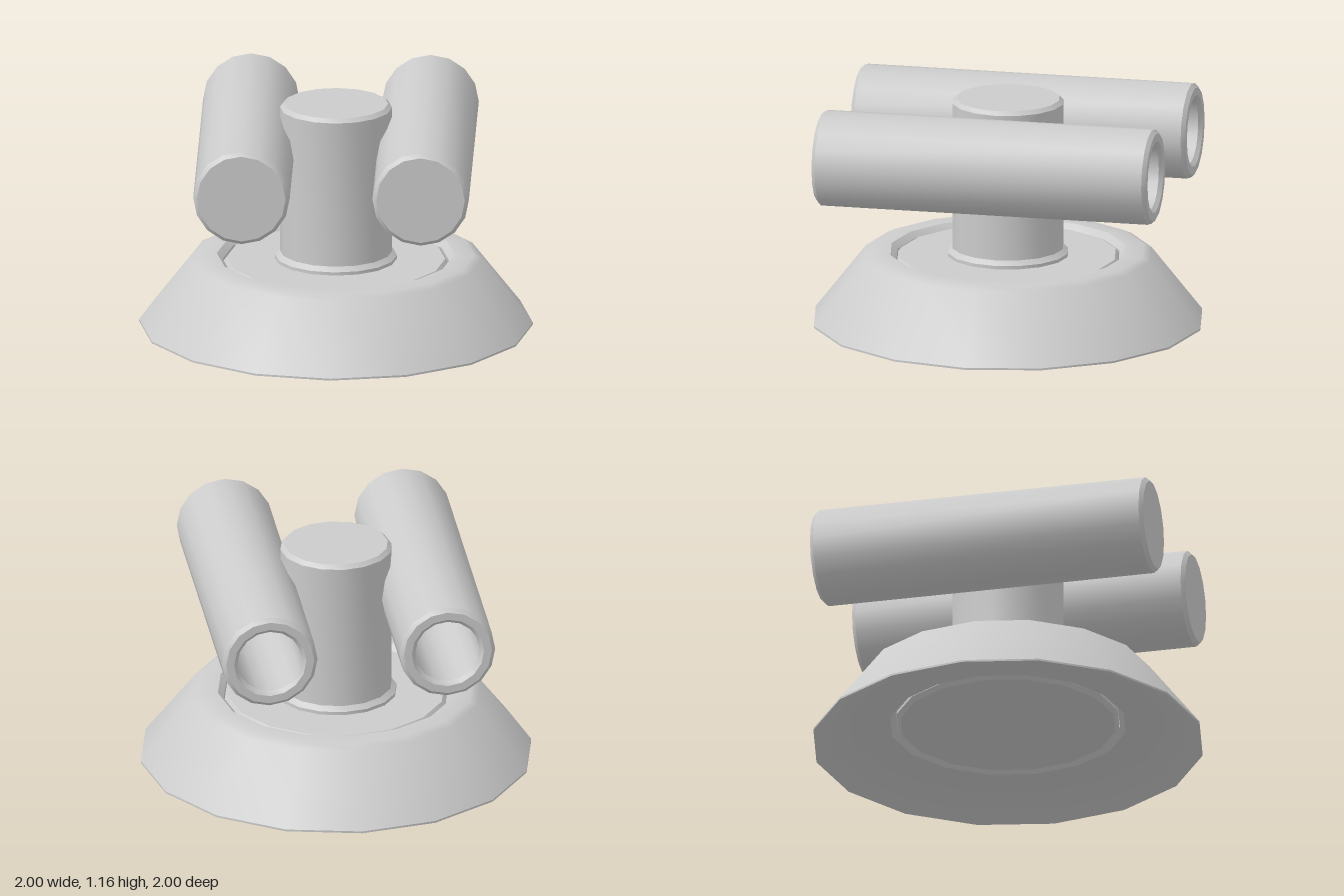
import * as THREE from 'three';
import { toCreasedNormals } from 'three/addons/utils/BufferGeometryUtils.js';

const SIDES = 16;
const material = new THREE.MeshStandardMaterial({ color: 0xcccccc });

// Turned part from [radius, height] pairs, running bottom to top on the outside
function turned(profile) {
  const points = profile.map(([r, y]) => new THREE.Vector2(r, y));
  return toCreasedNormals(new THREE.LatheGeometry(points, SIDES), Math.PI / 6);
}

function addPart(group, name, geometry, x = 0, y = 0) {
  const mesh = new THREE.Mesh(geometry, material);
  mesh.name = name;
  mesh.position.set(x, y, 0);
  group.add(mesh);
}

export function createModel() {
  const group = new THREE.Group();
  group.name = 'twinTubeMount';

  // Sloped ring with a hollowed underside and a bevelled hole
  addPart(group, 'baseRing', turned([
    [0.575, 0.13], [0.605, 0.1], [0.8, 0.1], [1, 0], [1, 0.01],
    [0.74, 0.345], [0.7, 0.365], [0.605, 0.365], [0.575, 0.335], [0.575, 0.13],
  ]));

  // Bevelled turntable filling the hole
  addPart(group, 'turntable', turned([
    [0, 0.1], [0.55, 0.1], [0.571, 0.12], [0.571, 0.325], [0.555, 0.345], [0, 0.345],
  ]));

  // Central column with a flared foot
  addPart(group, 'column', turned([
    [0.31, 0.34], [0.31, 0.362], [0.285, 0.385],
    [0.285, 1.145], [0.265, 1.165], [0, 1.165],
  ]));

  // Side tubes: closed at the front, bored out from the back
  const tube = turned([
    [0, 0.7], [0.165, 0.7], [0.165, -0.85], [0.185, -0.87], [0.225, -0.87],
    [0.245, -0.85], [0.245, 0.85], [0.225, 0.87], [0, 0.87],
  ]);
  tube.rotateX(Math.PI / 2);
  for (const [name, side] of [['leftTube', 1], ['rightTube', -1]]) {
    addPart(group, name, tube, side * 0.455, 0.92);
  }

  return group;
}
